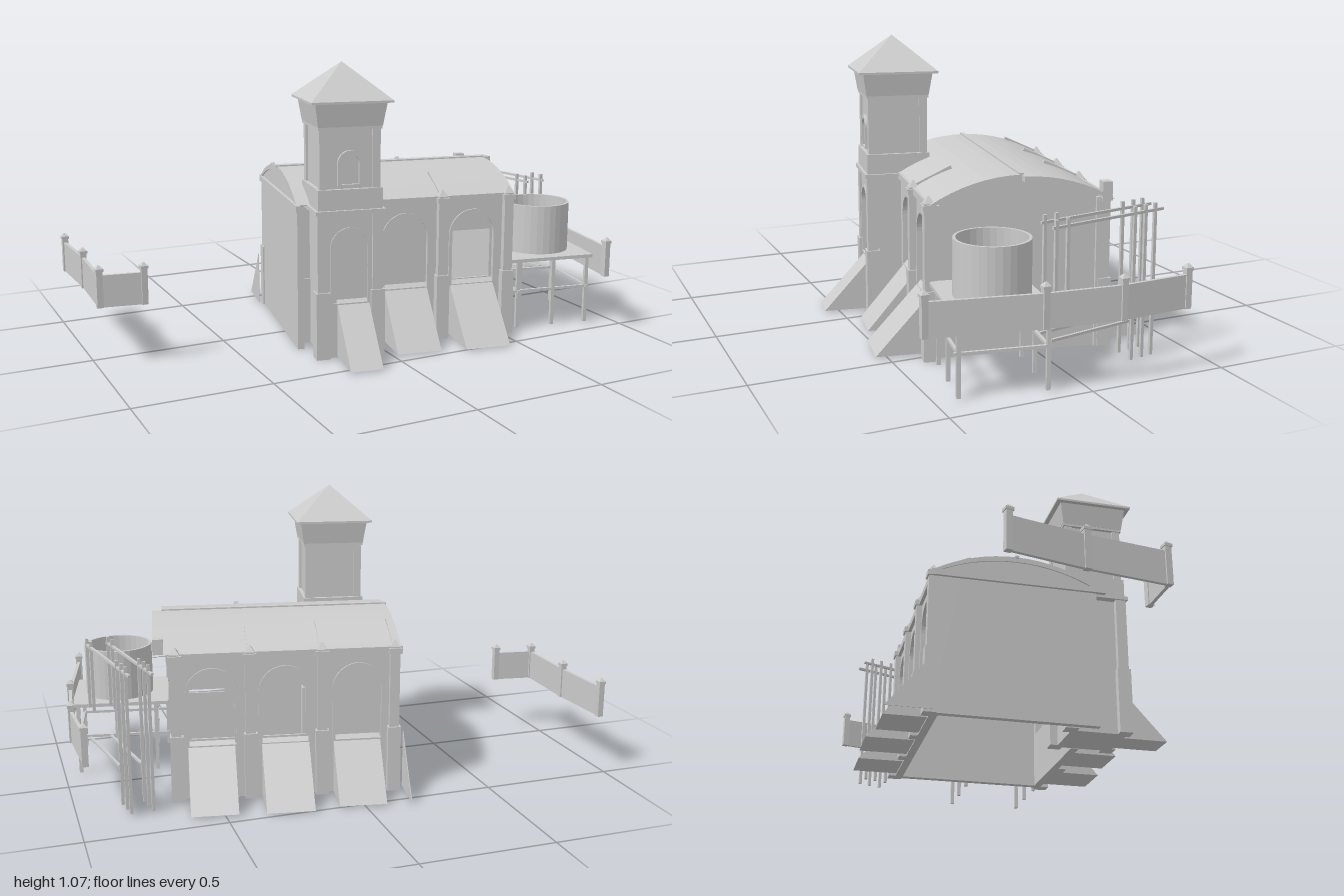
import * as THREE from 'three';

export function createModel() {
  const root = new THREE.Group();
  const hall = new THREE.Group();
  hall.name = 'building';
  hall.rotation.y = -0.18; // the building stands askew between its fences
  root.add(hall);
  const mat = new THREE.MeshStandardMaterial({ color: 0xcccccc, flatShading: true, side: THREE.DoubleSide });
  const smooth = new THREE.MeshStandardMaterial({ color: 0xcccccc, side: THREE.DoubleSide });

  const add = (name, geo, x = 0, y = 0, z = 0, parent = hall, m = mat) => {
    const mesh = new THREE.Mesh(geo, m);
    mesh.name = name;
    mesh.position.set(x, y, z);
    parent.add(mesh);
    return mesh;
  };
  // box given by its limits on each axis
  const block = (name, x0, x1, y0, y1, z0, z1, parent = hall) =>
    add(name, new THREE.BoxGeometry(x1 - x0, y1 - y0, z1 - z0),
      (x0 + x1) / 2, (y0 + y1) / 2, (z0 + z1) / 2, parent);
  // square bar between two points
  const bar = (name, a, b, t, parent = hall) => {
    const p = new THREE.Vector3(...a), q = new THREE.Vector3(...b);
    const mesh = add(name, new THREE.BoxGeometry(t, t, p.distanceTo(q)), 0, 0, 0, parent);
    mesh.position.copy(p).lerp(q, 0.5);
    mesh.quaternion.setFromUnitVectors(new THREE.Vector3(0, 0, 1), q.sub(p).normalize());
    return mesh;
  };
  // four-sided frustum with flat sides facing the axes
  const frustum = (name, top, bottom, h, x, y, z, parent = hall) => {
    const g = new THREE.CylinderGeometry(top * Math.SQRT2, bottom * Math.SQRT2, h, 4);
    g.rotateY(Math.PI / 4);
    return add(name, g, x, y + h / 2, z, parent);
  };
  const extrude = (shape, depth) =>
    new THREE.ExtrudeGeometry(shape, { depth, bevelEnabled: false, curveSegments: 10 });
  const rect = (x0, x1, y0, y1) => new THREE.Shape(
    [[x0, y0], [x1, y0], [x1, y1], [x0, y1]].map(p => new THREE.Vector2(...p)));
  const arch = (Type, cx, hw, y0, top) => {
    const s = new Type();
    s.moveTo(cx - hw, y0);
    s.lineTo(cx + hw, y0);
    s.lineTo(cx + hw, top - hw);
    s.absarc(cx, top - hw, hw, 0, Math.PI, false);
    s.closePath();
    return s;
  };
  const archFrame = (cx, hw, y0, top, w) => {
    const s = arch(THREE.Shape, cx, hw + w, y0, top + w);
    s.holes.push(arch(THREE.Path, cx, hw, y0 + w / 2, top));
    return s;
  };

  // long walls with arched bays; some bays have a square opening
  const EAVE = 0.545, BACK = -0.355, FRONT = 0.265;
  const longWall = (name, x0, x1, bays, z, s) => {
    const shape = rect(x0, x1, 0, EAVE);
    bays.forEach(([cx]) => shape.holes.push(arch(THREE.Path, cx, 0.09, 0.2, 0.49)));
    add(name, extrude(shape, 0.03), 0, 0, s > 0 ? z - 0.03 : z);
    for (const [cx, open] of bays) {
      const panel = arch(THREE.Shape, cx, 0.09, 0.2, 0.49);
      if (open) panel.holes.push(rect(cx - 0.08, cx + 0.08, 0.22, 0.41));
      add('bayPanel', extrude(panel, 0.008), 0, 0, z - s * 0.03);
      add('archTrim', extrude(archFrame(cx, 0.085, 0.2, 0.485, 0.012), 0.006), 0, 0, s > 0 ? z : z - 0.006);
    }
    block('cornice', x0 - 0.01, x1 + 0.01, 0.53, EAVE + 0.01, z - 0.013, z + 0.013);
  };
  longWall('frontWall', 0.03, 0.595, [[0.18, false], [0.45, true]], FRONT, 1);
  longWall('backWall', -0.24, 0.595, [[-0.09, false], [0.18, true], [0.445, true]], BACK, -1);

  // sloping buttresses below the bays
  const buttress = (cx, hw, wall, foot, h = 0.22) => {
    const s = new THREE.Shape();
    s.moveTo(wall, 0.005);
    s.lineTo(foot, 0.005);
    s.lineTo(wall, h);
    s.closePath();
    const g = extrude(s, hw * 2);
    g.rotateY(-Math.PI / 2);
    add('buttress', g, cx + hw, 0, 0);
  };
  buttress(0.18, 0.085, FRONT - 0.01, 0.437);
  buttress(0.447, 0.088, FRONT - 0.01, 0.452);
  buttress(-0.062, 0.06, 0.37, 0.565);
  buttress(-0.085, 0.087, BACK + 0.01, -0.512);
  buttress(0.18, 0.087, BACK + 0.01, -0.538);
  buttress(0.45, 0.085, BACK + 0.01, -0.53);
  buttress(-0.262, 0.001, BACK + 0.01, -0.52); // thin corner fin

  // barrel roof and end walls follow one arc
  const mid = (FRONT + BACK) / 2;
  const arcPoints = (half, y, rise) => {
    const r = (half * half + rise * rise) / (2 * rise), a = Math.asin(half / r), pts = [];
    for (let i = 0; i <= 16; i++) {
      const t = -a + (2 * a * i) / 16;
      pts.push(new THREE.Vector2(-mid + r * Math.sin(t), y + rise - r + r * Math.cos(t)));
    }
    return pts;
  };
  const along = (name, pts, x0, x1) => {
    const g = extrude(new THREE.Shape(pts), x1 - x0);
    g.rotateY(Math.PI / 2);
    return add(name, g, x0, 0, 0);
  };
  const outer = arcPoints(0.322, 0.55, 0.092), inner = arcPoints(0.31, 0.545, 0.077);
  const shell = from => [...outer.slice(from), ...inner.slice(from).reverse()];
  along('roof', shell(0), -0.245, 0.615);
  along('roofEndRim', shell(8), 0.61, 0.65);
  const gable = [new THREE.Vector2(-FRONT, 0), ...inner, new THREE.Vector2(-BACK, 0)];
  along('leftEndWall', gable, -0.24, -0.215);
  along('rightEndWall', gable, 0.555, 0.582);
  block('roofRidge', -0.25, 0.615, 0.638, 0.647, mid - 0.008, mid + 0.008);
  block('endCornice', -0.252, -0.235, 0.53, 0.553, BACK, 0.3);
  block('rimEndBlock', 0.612, 0.65, 0.55, 0.61, BACK - 0.005, BACK + 0.03);

  // pilasters with pedestals, finials and roof ribs
  const pilaster = (x, z, s, rib = true) => {
    block('pilaster', x - 0.018, x + 0.018, 0, 0.555, z - 0.018, z + 0.018);
    block('pedestal', x - 0.024, x + 0.024, 0, 0.25, z - 0.024, z + 0.024);
    block('capital', x - 0.024, x + 0.024, 0.53, 0.55, z - 0.024, z + 0.024);
    frustum('finial', 0.002, 0.018, 0.025, x, 0.555, z);
    if (rib) bar('roofRib', [x, 0.555, z], [x, 0.62, z - s * 0.14], 0.016);
  };
  for (const x of [-0.222, 0.046, 0.308, 0.575]) pilaster(x, BACK - 0.003, -1, x < 0.5);
  pilaster(0.32, FRONT + 0.008, 1);
  pilaster(0.588, FRONT + 0.008, 1, false);

  // tower
  const tower = new THREE.Group();
  tower.name = 'tower';
  tower.position.set(-0.075, 0, 0.275);
  hall.add(tower);
  const sq = (name, h, y0, y1) => block(name, -h, h, y0, y1, -h, h, tower);
  sq('towerBase', 0.1, 0, 0.545);
  sq('towerLedge', 0.13, 0.535, 0.55);
  sq('towerAttic', 0.12, 0.55, 0.625);
  sq('towerShaft', 0.105, 0.62, 0.85);
  sq('towerCollar', 0.118, 0.838, 0.848);
  frustum('towerFlare', 0.132, 0.119, 0.085, 0, 0.848, 0, tower);
  sq('roofPlate', 0.15, 0.932, 0.94);
  frustum('towerRoof', 0.001, 0.15, 0.128, 0, 0.94, 0, tower);
  for (const x of [-1, 1]) for (const z of [-1, 1]) {
    const post = (name, c, h, y0, y1) =>
      block(name, x * c - h, x * c + h, y0, y1, z * c - h, z * c + h, tower);
    post('shaftCorner', 0.098, 0.015, 0.62, 0.84);
    post('basePier', 0.103, 0.02, 0, 0.545);
    post('pierPedestal', 0.103, 0.026, 0, 0.25);
  }
  const face = rect(-0.1, 0.1, 0, 0.54);
  face.holes.push(arch(THREE.Path, 0, 0.07, 0.2, 0.48));
  add('towerFrontArch', extrude(face, 0.014), 0, 0, 0.1, tower);
  add('towerArchTrim', extrude(archFrame(0, 0.065, 0.2, 0.475, 0.01), 0.006), 0, 0, 0.113, tower);
  add('towerWindowFrame', extrude(archFrame(0, 0.033, 0.635, 0.75, 0.013), 0.014), 0, 0, 0.102, tower);

  // tank on a trestle platform
  block('platform', 0.6, 0.97, 0.272, 0.285, -0.055, 0.275);
  const R = 0.13;
  const profile = [[0, 0.287], [R, 0.287], [R, 0.48], [R - 0.01, 0.48], [R - 0.01, 0.4], [0, 0.4]];
  const tankGeo = new THREE.LatheGeometry(profile.map(p => new THREE.Vector2(...p)), 32).toNonIndexed();
  tankGeo.computeVertexNormals();
  add('tank', tankGeo, 0.79, 0, 0.105, hall, smooth);
  for (const x of [0.65, 0.8, 0.945]) for (const z of [-0.04, 0.255])
    block('platformLeg', x - 0.007, x + 0.007, 0.005, 0.275, z - 0.007, z + 0.007);
  for (const z of [-0.04, 0.255]) block('crossBeam', 0.6, 0.95, 0.147, 0.157, z - 0.005, z + 0.005);
  for (const x of [0.65, 0.945]) block('crossBeam', x - 0.005, x + 0.005, 0.147, 0.157, -0.05, 0.27);

  // walkway handrails beside the building
  for (const dx of [0, 0.078]) {
    const at = (t, y) => [0.73 + dx + 0.09 * t, y, -0.375 + 0.475 * t];
    bar('handrail', at(0, 0.525), at(1, 0.525), 0.009, root);
    for (const t of [0.08, 0.17, 0.27]) bar('tallPost', at(t, 0.01), at(t, 0.55), 0.011, root);
    for (const t of [0.87, 0.97]) bar('railPost', at(t, 0.28), at(t, 0.55), 0.011, root);
    bar('lowerRail', at(0.3, 0.152), at(1, 0.152), 0.009, root);
  }

  // outer parapets with capped posts
  const parapet = (name, pts) => {
    const g = new THREE.Group();
    g.name = name;
    root.add(g);
    pts.forEach(([x, z], i) => {
      block('parapetPost', x - 0.011, x + 0.011, 0.22, 0.355, z - 0.011, z + 0.011, g);
      block('postCap', x - 0.014, x + 0.014, 0.352, 0.362, z - 0.014, z + 0.014, g);
      frustum('postTip', 0.003, 0.013, 0.012, x, 0.362, z, g);
      if (!i) return;
      const [px, pz] = pts[i - 1];
      const panel = add('parapetPanel',
        new THREE.BoxGeometry(Math.hypot(x - px, z - pz), 0.117, 0.012),
        (x + px) / 2, 0.279, (z + pz) / 2, g);
      panel.rotation.y = -Math.atan2(z - pz, x - px);
    });
  };
  parapet('rightParapet', [[0.97, -0.37], [0.985, -0.115], [0.96, 0.155], [0.885, 0.535]]);
  parapet('leftParapet', [[-0.985, -0.465], [-0.975, -0.2], [-0.985, 0.08], [-0.83, 0.105]]);

  return root;
}
